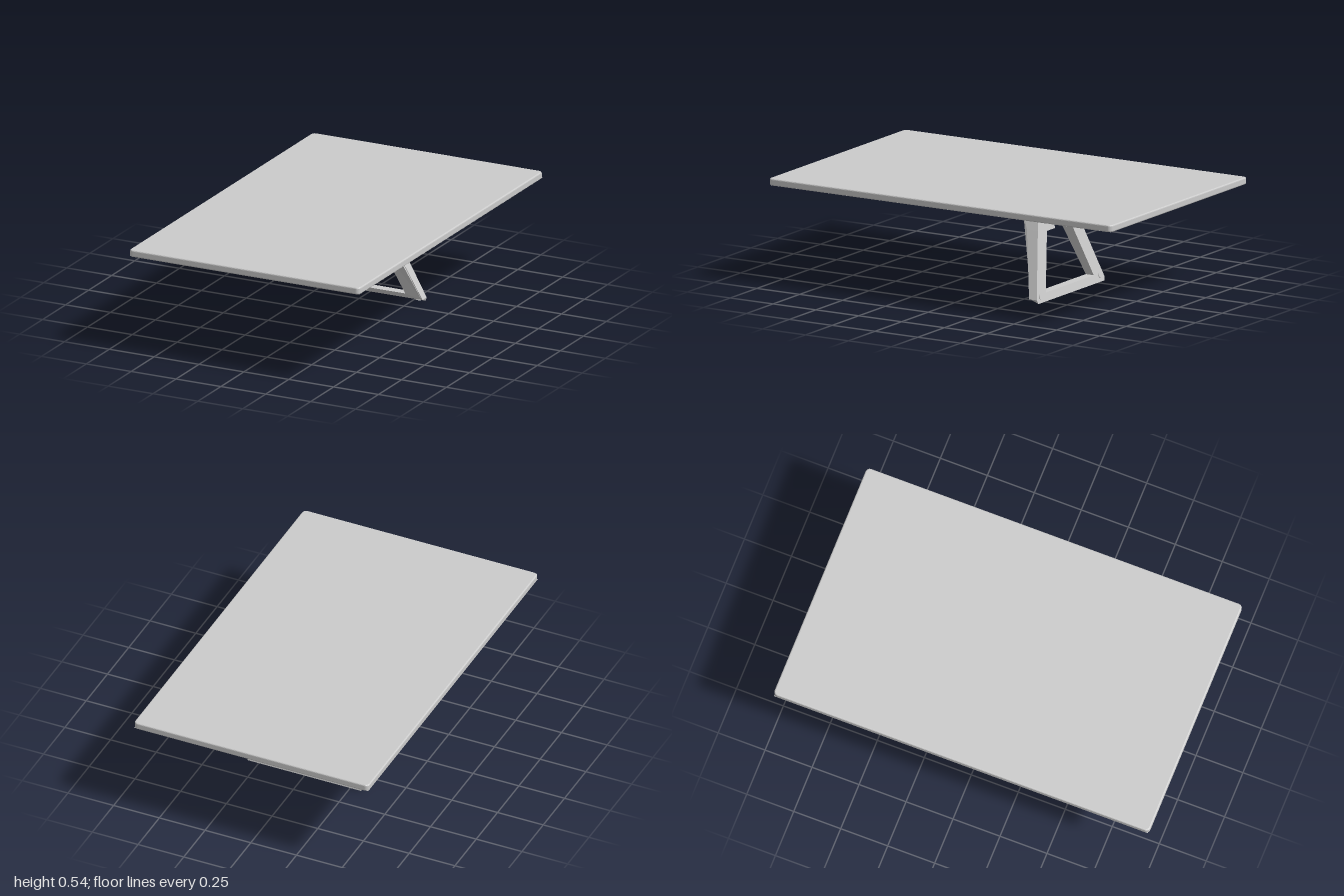
import * as THREE from 'three';

const mat = new THREE.MeshStandardMaterial({ color: 0xcccccc });
const flat = new THREE.MeshStandardMaterial({ color: 0xcccccc, flatShading: true, side: THREE.DoubleSide });

function add(parent, name, geometry, material = mat) {
  const mesh = new THREE.Mesh(geometry, material);
  mesh.name = name;
  parent.add(mesh);
  return mesh;
}

function polygon(points) {
  return new THREE.Shape(points.map(([x, y]) => new THREE.Vector2(x, y)));
}

// Rounded slab lying flat
function slabGeometry() {
  const w = 0.635, l = 0.993, r = 0.015;
  const s = new THREE.Shape();
  s.moveTo(-w + r, -l);
  s.lineTo(w - r, -l); s.absarc(w - r, -l + r, r, -Math.PI / 2, 0);
  s.lineTo(w, l - r); s.absarc(w - r, l - r, r, 0, Math.PI / 2);
  s.lineTo(-w + r, l); s.absarc(-w + r, l - r, r, Math.PI / 2, Math.PI);
  s.lineTo(-w, -l + r); s.absarc(-w + r, -l + r, r, Math.PI, Math.PI * 1.5);
  const g = new THREE.ExtrudeGeometry(s, {
    depth: 0.022, bevelThickness: 0.007, bevelSize: 0.007, bevelSegments: 3, curveSegments: 5,
  });
  return g.rotateX(-Math.PI / 2).translate(0, 0.51, 0);
}

// Shallow pyramid shell under the slab, cut away between its two front ridges
function hullGeometry() {
  const pos = [];
  const quad = (a, b, c, d) => pos.push(...a, ...b, ...c, ...a, ...c, ...d);
  const flip = ([x, y, z]) => [-x, y, z];
  const back = [0.64, 0.505, -0.995], front = [0.64, 0.505, 0.995];
  const apexBack = [0.16, 0.41, -0.3], apexFront = [0.16, 0.41, -0.2];
  const ridge = [0.32, 0.443, 0.2];
  const rimFront = [0.615, 0.502, 0.985], rimMid = [0.3, 0.502, 0.215];
  const lipMid = [0.31, 0.443, 0.2], lipEnd = [0.152, 0.41, -0.2];
  const pocketLow = [0.152, 0.41, -0.295], pocketTop = [0.152, 0.502, -0.295];
  const rimEnd = [0.152, 0.502, -0.2];
  const half = [
    [back, front, ridge, apexFront], [back, apexFront, apexBack, back],
    [front, rimFront, lipMid, ridge], [ridge, lipMid, lipEnd, apexFront],
    [rimFront, rimMid, lipMid, rimFront], [lipMid, rimMid, rimEnd, lipEnd],
    [lipEnd, rimEnd, pocketTop, pocketLow], [apexFront, lipEnd, pocketLow, apexBack],
  ];
  for (const f of half) {
    quad(...f);
    quad(...f.map(flip).reverse());
  }
  quad(flip(back), back, apexBack, flip(apexBack));
  quad(flip(apexBack), apexBack, pocketLow, flip(pocketLow));
  quad(flip(pocketLow), pocketLow, pocketTop, flip(pocketTop));
  const g = new THREE.BufferGeometry();
  g.setAttribute('position', new THREE.Float32BufferAttribute(pos, 3));
  g.computeVertexNormals();
  return g;
}

// Depth of the leaning stand at each height
const backZ = (y) => -0.37 + y * 0.225;
const frontZ = (y) => (y < 0.34 ? -0.326 + y * 0.282 : -0.23 + (y - 0.34) * 0.57);

function standGeometry() {
  const s = polygon([
    [-0.31, 0], [0.31, 0], [0.318, 0.02], [0.192, 0.34], [0.165, 0.405],
    [-0.165, 0.405], [-0.192, 0.34], [-0.318, 0.02],
  ]);
  s.holes.push(polygon([
    [-0.225, 0.042], [-0.112, 0.325], [-0.035, 0.325], [-0.035, 0.375], [-0.025, 0.385],
    [0.025, 0.385], [0.035, 0.375], [0.035, 0.325], [0.112, 0.325], [0.225, 0.042],
  ]));
  const g = new THREE.ExtrudeGeometry(s, { depth: 1, bevelEnabled: false });
  const p = g.attributes.position;
  for (let i = 0; i < p.count; i++) {
    const y = p.getY(i), t = p.getZ(i);
    p.setZ(i, THREE.MathUtils.lerp(backZ(y), frontZ(y), t));
    if (y < 0.01) p.setY(i, t * 0.018);
  }
  g.computeVertexNormals();
  return g;
}

// Hooked strap, drawn from the side and extruded across x
function strapGeometry() {
  const s = new THREE.Shape();
  s.moveTo(0.228, 0.332);
  s.lineTo(0.192, 0.4);
  s.bezierCurveTo(0.18, 0.44, 0.2, 0.472, 0.24, 0.472);
  s.bezierCurveTo(0.275, 0.472, 0.285, 0.43, 0.278, 0.4);
  s.lineTo(0.293, 0.332);
  const g = new THREE.ExtrudeGeometry(s, { depth: 0.075, bevelEnabled: false, curveSegments: 10 });
  return g.rotateY(Math.PI / 2).translate(-0.0375, 0, 0);
}

export function createModel() {
  const model = new THREE.Group();
  model.name = 'boardOnStand';

  add(model, 'slab', slabGeometry());
  add(model, 'underside', hullGeometry(), flat);

  // Fittings inside the recess
  const fittings = new THREE.Group();
  fittings.name = 'recessFittings';
  model.add(fittings);
  add(fittings, 'stepBar', new THREE.BoxGeometry(0.48, 0.022, 0.05)).position.set(0, 0.492, 0.2);
  add(fittings, 'hingeHousing', new THREE.BoxGeometry(0.3, 0.05, 0.04)).position.set(0, 0.478, -0.27);
  const tab = polygon([[-0.07, 0.5], [-0.045, 0.457], [0.045, 0.457], [0.07, 0.5]]);
  add(fittings, 'tab', new THREE.ExtrudeGeometry(tab, { depth: 0.07, bevelEnabled: false })).position.z = 0.17;

  // Folding stand
  const stand = new THREE.Group();
  stand.name = 'stand';
  model.add(stand);
  add(stand, 'frame', standGeometry(), flat);
  const plate = add(stand, 'notchPlate', new THREE.BoxGeometry(0.07, 0.055, 0.03));
  plate.position.set(0, 0.362, -0.265);
  plate.rotation.x = 0.22;
  const barrel = add(stand, 'hingeBarrel', new THREE.CylinderGeometry(0.036, 0.036, 0.32, 24));
  barrel.rotation.z = Math.PI / 2;
  barrel.position.set(0, 0.425, -0.242);

  const pad = new THREE.CylinderGeometry(0.014, 0.014, 0.006, 20);
  for (const side of [1, -1]) {
    add(stand, 'hingeStrap', strapGeometry()).position.x = side * 0.118;
    const foot = add(stand, 'footPad', pad);
    foot.position.set(side * 0.28, 0.009, -0.346);
    foot.rotation.x = -0.34;
    const cap = add(stand, 'rearCap', pad);
    cap.position.set(side * 0.28, 0.032, backZ(0.032));
    cap.rotation.x = -Math.PI / 2 + 0.22;
  }
  return model;
}
